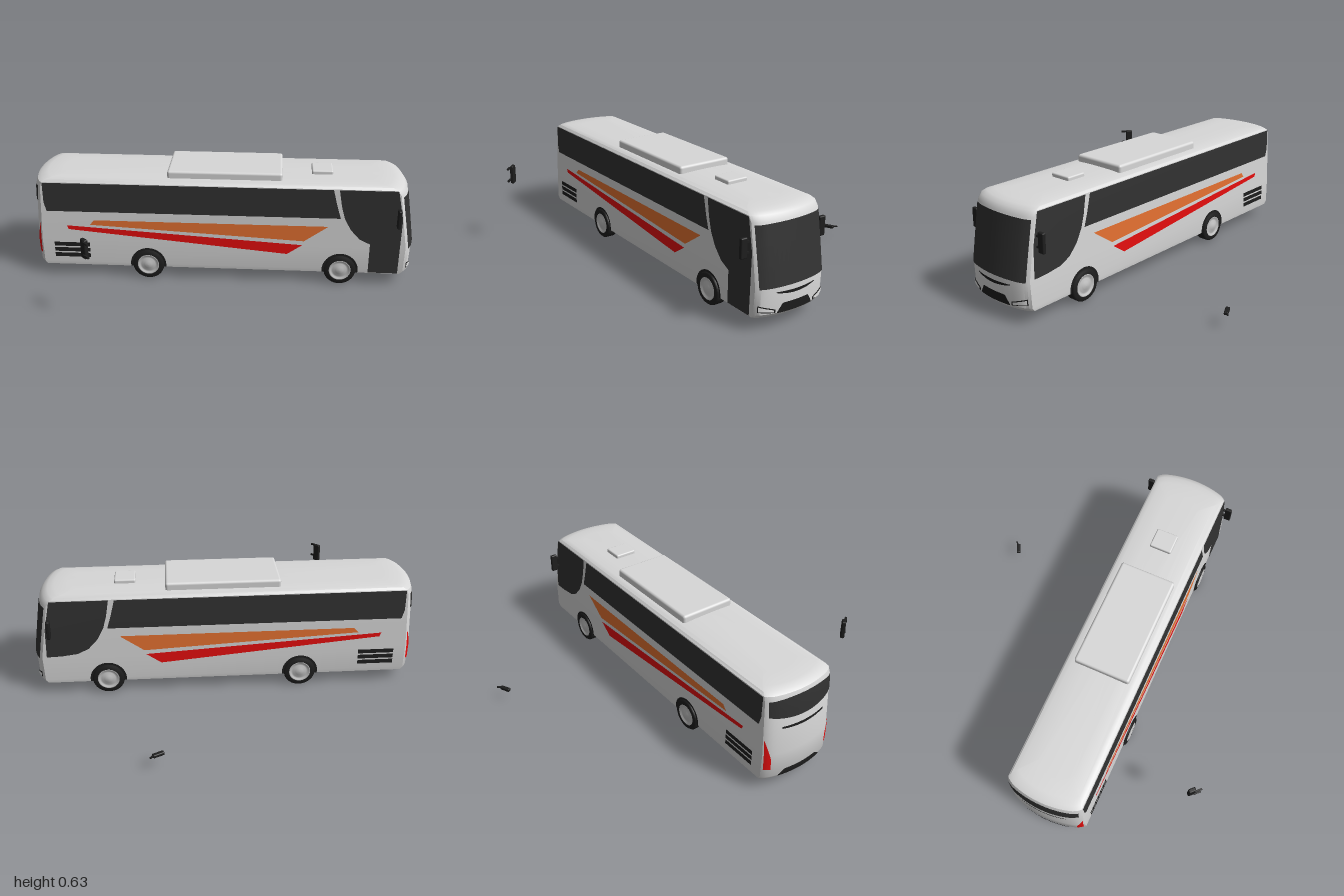
import * as THREE from 'three';
import { toCreasedNormals } from 'three/addons/utils/BufferGeometryUtils.js';
import { RoundedBoxGeometry } from 'three/addons/geometries/RoundedBoxGeometry.js';

const mat = (name, color, side = THREE.FrontSide) => new THREE.MeshStandardMaterial({ name, color, side });

// Body levels: y, half width, front reach, rear reach (local x is forward)
const LEVELS = [
  [0.07, 0.212, 1.04, 1.045], [0.09, 0.215, 1.055, 1.057], [0.23, 0.2125, 1.06, 1.06],
  [0.54, 0.2075, 1.01, 1.045], [0.568, 0.206, 0.99, 1.035], [0.581, 0.196, 0.965, 1.015],
  [0.588, 0.17, 0.93, 0.98], [0.592, 0.1, 0.86, 0.9],
];

function levelAt(y) {
  let i = 0;
  while (i < LEVELS.length - 2 && y > LEVELS[i + 1][0]) i++;
  const a = LEVELS[i], b = LEVELS[i + 1], t = (y - a[0]) / (b[0] - a[0]);
  return a.map((v, k) => v + (b[k] - v) * t);
}

// Bowed nose and tail: distance from the middle at width v and height y
function reach(sign, v, y) {
  const [, hw, front, rear] = levelAt(y);
  const s = Math.abs(v / hw);
  return (sign > 0 ? front : rear) - 0.04 * s ** 2 - 0.015 * s ** 12;
}

function build(positions, index) {
  const g = new THREE.BufferGeometry();
  g.setAttribute('position', new THREE.Float32BufferAttribute(positions, 3));
  g.setIndex(index);
  g.computeVertexNormals();
  return g;
}

function ring(y) {
  const N = 20, pts = [], hw = levelAt(y)[1];
  for (const sign of [1, -1]) {
    for (let i = 0; i <= N; i++) {
      const v = sign * hw * Math.cos((Math.PI * i) / N);
      pts.push([sign * reach(sign, v, y), y, v]);
    }
  }
  return pts;
}

function bodyShell() {
  const rings = LEVELS.map(l => ring(l[0])), n = rings[0].length, index = [];
  for (let j = 0; j < rings.length - 1; j++) {
    for (let i = 0; i < n; i++) {
      const a = j * n + i, b = j * n + (i + 1) % n;
      index.push(a, b, b + n, a, b + n, a + n);
    }
  }
  const top = (rings.length - 1) * n, centre = rings.length * n;
  for (let i = 0; i < n; i++) index.push(top + i, top + (i + 1) % n, centre);
  return toCreasedNormals(build([...rings.flat(2), 0, 0.594, 0], index), 0.6);
}

function bodyFloor() {
  const r = ring(0.07), n = r.length, index = [];
  for (let i = 0; i < n; i++) index.push((i + 1) % n, i, n);
  return build([...r.flat(), 0, 0.07, 0], index);
}

// Painted patch on the nose (sign 1) or tail (sign -1), between two height curves
function endPatch(sign, a, b, lo, hi, lift = 0.004) {
  const N = 16, M = 3, pos = [], index = [];
  for (let i = 0; i <= N; i++) {
    const v = -sign * (a + ((b - a) * i) / N), y0 = lo(Math.abs(v)), y1 = hi(Math.abs(v));
    for (let k = 0; k <= M; k++) {
      const y = y0 + ((y1 - y0) * k) / M;
      pos.push(sign * (reach(sign, v, y) + lift), y, v);
      if (i < N && k < M) {
        const p = i * (M + 1) + k, q = p + M + 1;
        index.push(p, q, q + 1, p, q + 1, p + 1);
      }
    }
  }
  return build(pos, index);
}

// Painted patch on a flank from [x, y] corners; side 1 is the right flank
function sidePatch(side, corners, lift = 0.004) {
  const g = new THREE.ShapeGeometry(new THREE.Shape(corners.map(c => new THREE.Vector2(...c))));
  const p = g.attributes.position;
  for (let i = 0; i < p.count; i++) p.setZ(i, side * (levelAt(p.getY(i))[1] + lift));
  if (side < 0) g.index.array.reverse();
  g.computeVertexNormals();
  return g;
}

const rect = (x0, x1, y0, y1) => [[x0, y0], [x1, y0], [x1, y1], [x0, y1]];
const lathe = pts => new THREE.LatheGeometry(pts.map(p => new THREE.Vector2(...p)), 36);

export function createModel() {
  const paint = mat('body paint', 0xd8d8d8), glass = mat('dark glass', 0x323232);
  const black = mat('black trim', 0x1e1e1e), red = mat('red', 0xf81010);
  const orange = mat('orange', 0xfa7c36), lamp = mat('lamp white', 0xf4f4f4);
  const metal = mat('wheel metal', 0xc4c4c4);

  const model = new THREE.Group();
  const bus = new THREE.Group();
  bus.name = 'bus';
  bus.rotation.y = -Math.atan(0.5);
  bus.position.z = -0.014;
  model.add(bus);
  const add = (name, geo, material, parent = bus) => {
    const m = new THREE.Mesh(geo, material);
    m.name = name;
    parent.add(m);
    return m;
  };

  add('body', bodyShell(), paint);
  add('underside', bodyFloor(), black);

  // Roof units
  add('airConditioner', new RoundedBoxGeometry(0.625, 0.06, 0.315, 3, 0.014), paint).position.set(0.012, 0.599, 0);
  add('roofHatch', new RoundedBoxGeometry(0.115, 0.04, 0.125, 3, 0.008), paint).position.set(0.543, 0.593, 0);

  // Nose: windscreen, slot, grille and headlights
  add('windscreen', endPatch(1, -0.2, 0.2, v => 0.228 - 0.1 * v * v, v => 0.535 - 0.15 * v * v), glass);
  add('noseSlot', endPatch(1, -0.12, 0.12, v => 0.183 + 1.1 * v * v, v => 0.2 + 0.2 * v * v), black);
  add('grille', endPatch(1, -0.108, 0.108, v => 0.09, v => 0.14 - Math.max(0, v - 0.08) * 1.6), black);
  for (const s of [1, -1]) {
    const span = (a, b) => (s > 0 ? [a, b] : [-b, -a]);
    add('headlightSurround', endPatch(1, ...span(0.118, 0.204), v => 0.093 + (v - 0.118) * 0.15,
      v => 0.112 + (v - 0.118) * 0.33), black);
    add('headlight', endPatch(1, ...span(0.128, 0.202), v => 0.098 + (v - 0.118) * 0.15,
      v => 0.107 + (v - 0.118) * 0.33, 0.007), lamp);
    add('tailLight', endPatch(-1, ...span(0.178, 0.209), v => 0.14, v => 0.2 + (v - 0.178) * 4), red);
  }

  // Tail: window, slot and lower grille
  add('rearWindow', endPatch(-1, -0.196, 0.196, v => 0.43 + 0.7 * v * v, v => 0.552 - 0.2 * v * v), glass);
  add('rearSlot', endPatch(-1, -0.13, 0.13, v => 0.372 + 0.5 * v * v, v => 0.388 + 0.2 * v * v), black);
  add('rearGrille', endPatch(-1, -0.135, 0.135, v => 0.082, v => 0.122 - Math.max(0, v - 0.1) * 0.8), black);

  // Flanks: glazing, stripes, vents, wheels and mirrors
  const rearEdge = [[0.628, 0.566], [0.645, 0.47], [0.665, 0.4], [0.7, 0.335], [0.75, 0.28], [0.81, 0.25]];
  for (const side of [1, -1]) {
    add('sideWindows', sidePatch(side, [[-0.965, 0.4], [0.643, 0.4], [0.62, 0.475], [0.597, 0.566],
      [-0.978, 0.566], [-0.978, 0.45]]), glass);
    const foot = side > 0 ? [[0.81, 0.075], [0.972, 0.075]] : [[0.9, 0.238], [0.98, 0.235]];
    add(side > 0 ? 'doorAndFrontWindow' : 'frontWindow',
      sidePatch(side, [...rearEdge, ...foot, [0.975, 0.4], [0.94, 0.566]]), glass);
    add('orangeStripe', sidePatch(side, [[0.58, 0.35], [-0.705, 0.35], [-0.73, 0.322], [0.45, 0.258]]), orange);
    add('redStripe', sidePatch(side, [[0.442, 0.234], [-0.86, 0.315], [-0.85, 0.292], [0.36, 0.177]]), red);
    for (const y of [0.133, 0.166, 0.199]) {
      add('sideVent', sidePatch(side, rect(-0.938, -0.738, y - 0.012, y + 0.012)), black);
    }

    for (const x of [0.655, -0.412]) {
      const arch = [];
      for (let i = 0; i <= 24; i++) {
        const a = -0.15 + (i / 24) * (Math.PI + 0.3);
        arch.push([x + 0.1 * Math.cos(a), 0.087 + 0.1 * Math.sin(a)]);
      }
      add('wheelArch', sidePatch(side, arch, 0.003), black);
      const wheel = new THREE.Group();
      wheel.name = 'wheel';
      wheel.position.set(x, 0.088, side * 0.193);
      wheel.rotation.x = side * Math.PI / 2;
      bus.add(wheel);
      add('tyre', lathe([[0, -0.033], [0.08, -0.033], [0.088, -0.025], [0.088, 0.022], [0.08, 0.032],
        [0.058, 0.032]]), black, wheel);
      add('rim', lathe([[0.06, 0.032], [0.054, 0.034], [0.049, 0.027], [0.038, 0.027], [0.034, 0.031],
        [0.022, 0.031], [0.018, 0.036], [0, 0.037]]), metal, wheel);
    }

    add('mirror', new RoundedBoxGeometry(0.02, 0.105, 0.038, 2, 0.006), black).position.set(0.95, 0.422, side * 0.246);
    for (const y of [0.395, 0.45]) {
      add('mirrorArm', new THREE.BoxGeometry(0.012, 0.01, 0.05), black).position.set(0.95, y, side * 0.218);
    }
  }

  // Detached upright mirror beside the tail
  const upright = new THREE.Group();
  upright.name = 'detachedMirror';
  upright.position.set(-0.882, 0.422, 0.297);
  upright.rotation.y = 0.35;
  model.add(upright);
  add('mirrorHousing', new RoundedBoxGeometry(0.022, 0.105, 0.04, 2, 0.006), black, upright);
  for (const y of [-0.03, 0.042]) {
    add('mirrorArm', new THREE.BoxGeometry(0.01, 0.01, 0.04), black, upright).position.set(-0.012, y, 0.03);
  }

  // Detached mirror lying low on the far side
  const lying = new THREE.Group();
  lying.name = 'detachedLowMirror';
  lying.position.set(0.745, 0.077, -0.65);
  model.add(lying);
  add('mirrorHousing', new RoundedBoxGeometry(0.06, 0.018, 0.022, 2, 0.005), black, lying);
  const arm = add('mirrorArm', new THREE.BoxGeometry(0.04, 0.008, 0.008), black, lying);
  arm.position.set(0.03, 0.004, -0.004);
  arm.rotation.y = 0.4;
  return model;
}
